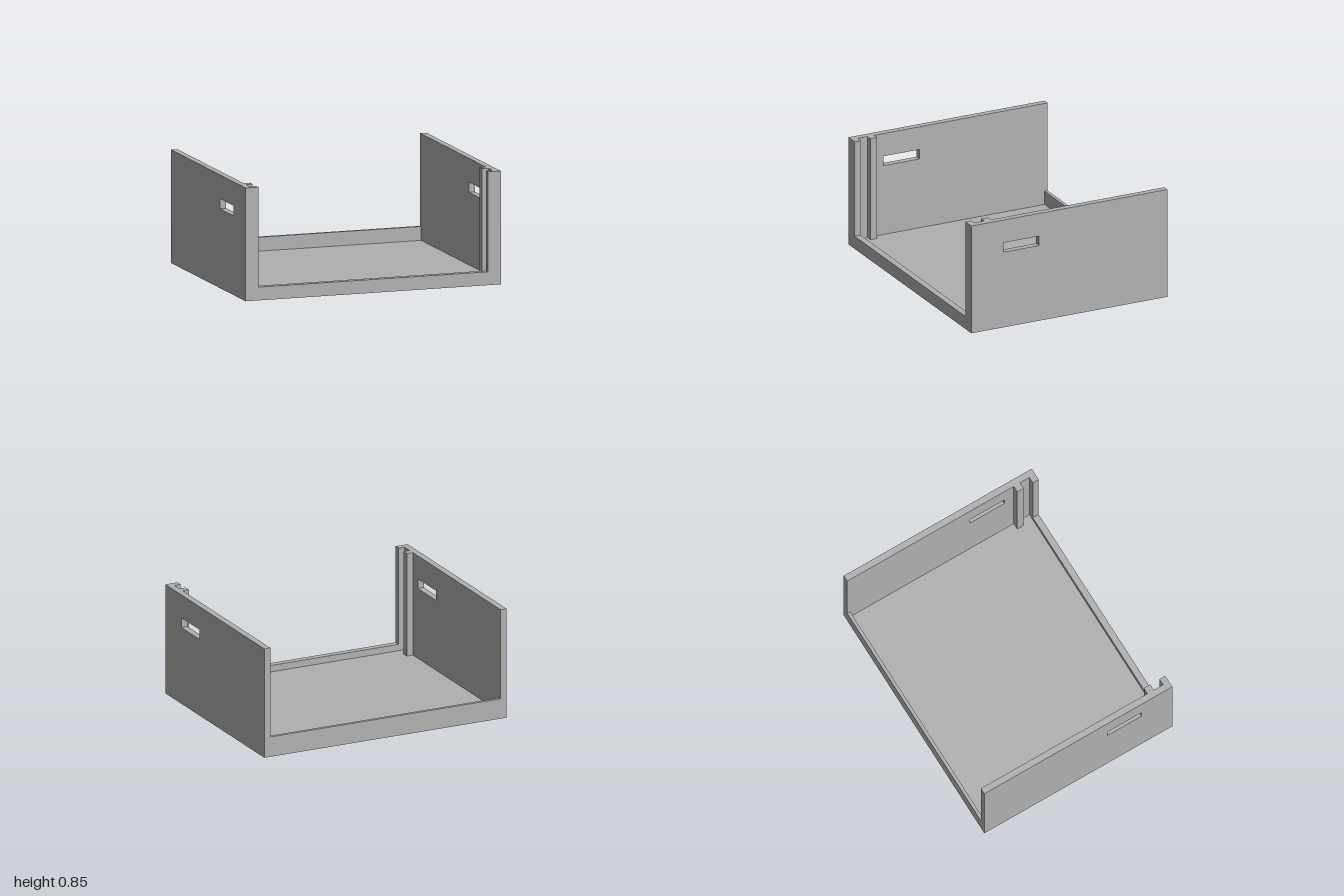
import * as THREE from 'three';

export function createModel() {
  const group = new THREE.Group();
  group.name = 'openTray';
  const grey = new THREE.MeshStandardMaterial({ color: 0xb0b0b0 });
  grey.name = 'plain grey';

  const add = (name, geometry) => {
    const mesh = new THREE.Mesh(geometry, grey);
    mesh.name = name;
    group.add(mesh);
  };
  // Box given by its limits on each axis
  const box = (name, [x0, x1], [y0, y1], [z0, z1]) => {
    const g = new THREE.BoxGeometry(x1 - x0, y1 - y0, z1 - z0);
    add(name, g.translate((x0 + x1) / 2, (y0 + y1) / 2, (z0 + z1) / 2));
  };
  const rect = (path, z0, z1, y0, y1) =>
    path.moveTo(z0, y0).lineTo(z1, y0).lineTo(z1, y1).lineTo(z0, y1).closePath();

  const H = 0.85, D = 0.81, T = 0.05, floorTop = 0.05;

  // Floor with a thin back wall and a low front sill
  box('floor', [-0.95, 0.95], [0, floorTop], [-D, D]);
  box('backWall', [-0.95, 0.95], [floorTop, 0.155], [-D, -0.785]);
  box('frontSill', [-0.9, 0.9], [floorTop, 0.1], [0.76, D]);

  // Side wall profile with a handle slot
  const profile = rect(new THREE.Shape(), -D, D, 0, H);
  profile.holes.push(rect(new THREE.Path(), 0.25, 0.545, 0.595, 0.67));

  for (const [side, s] of [['left', 1], ['right', -1]]) {
    const wall = new THREE.ExtrudeGeometry(profile, { depth: T, bevelEnabled: false });
    wall.rotateY(-Math.PI / 2).translate(s > 0 ? 1 : -0.95, 0, 0);
    add(side + 'Wall', wall);

    // Front post and inner rib, leaving a groove for a sliding panel
    const x = s > 0 ? [0.9, 0.95] : [-0.95, -0.9];
    box(side + 'FrontPost', x, [floorTop, H], [0.76, D]);
    box(side + 'GrooveRib', x, [floorTop, H], [0.625, 0.68]);
  }
  return group;
}
